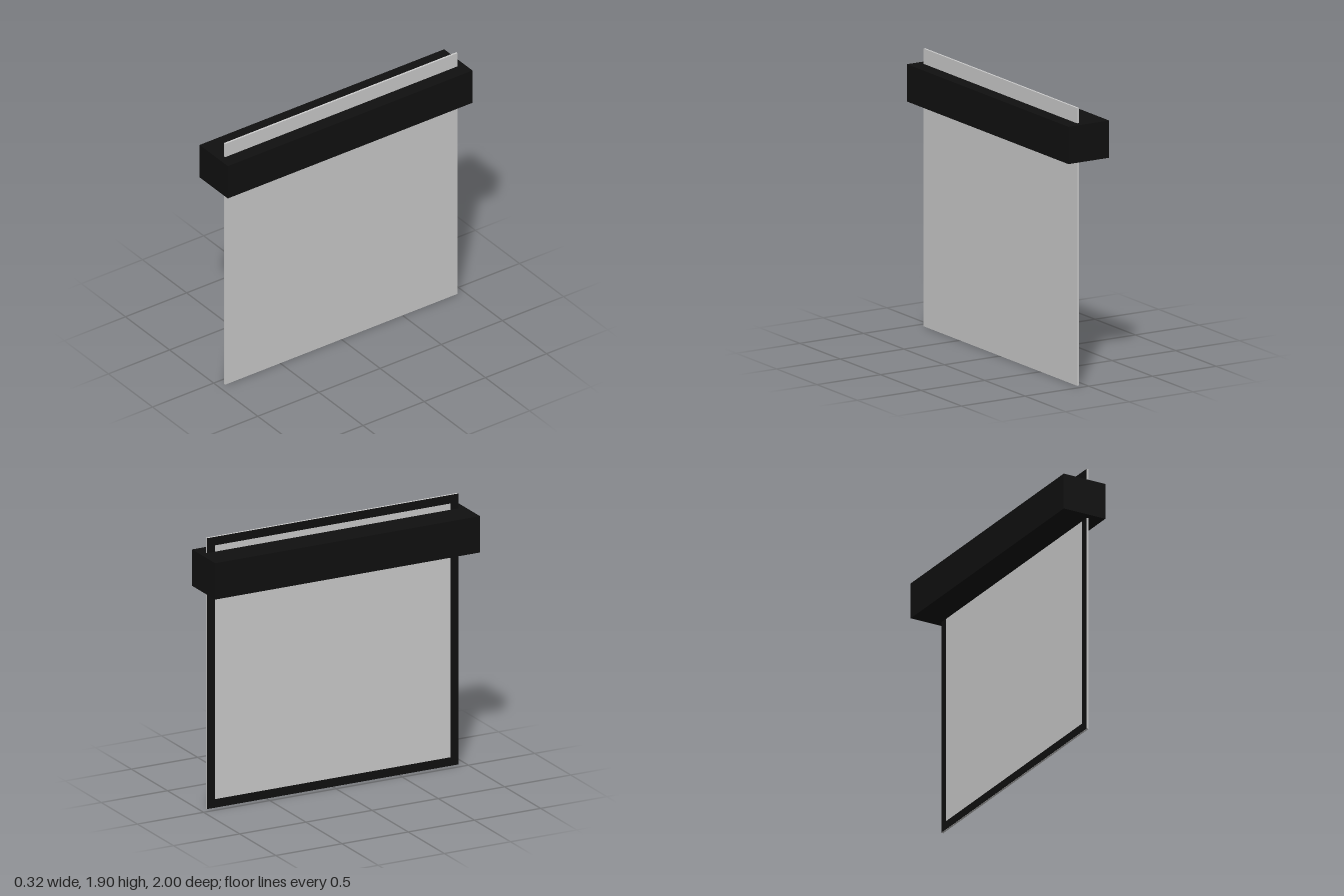
import * as THREE from 'three';

const grey = new THREE.MeshStandardMaterial({ color: 0xcccccc });
const black = new THREE.MeshStandardMaterial({ color: 0x101010 });

function addBox(parent, name, material, size, position) {
  const mesh = new THREE.Mesh(new THREE.BoxGeometry(...size), material);
  mesh.name = name;
  mesh.position.set(...position);
  parent.add(mesh);
  return mesh;
}

export function createModel() {
  const model = new THREE.Group();
  model.name = 'projectionScreen';

  // Long housing that holds the roller
  addBox(model, 'housing', black, [0.32, 0.255, 2], [0, 1.668, 0]);

  // Thin screen sheet, passing through the housing
  const size = 1.9, thickness = 0.014, sheetX = 0.054;
  addBox(model, 'screenSheet', grey, [thickness, size, size], [sheetX, size / 2, 0]);

  // Black border around the projection side, which faces -x
  const half = size / 2, inner = half - 0.06;
  const outline = new THREE.Shape([
    new THREE.Vector2(-half, -half), new THREE.Vector2(half, -half),
    new THREE.Vector2(half, half), new THREE.Vector2(-half, half),
  ]);
  outline.holes.push(new THREE.Path([
    new THREE.Vector2(-inner, -inner), new THREE.Vector2(-inner, inner),
    new THREE.Vector2(inner, inner), new THREE.Vector2(inner, -inner),
  ]));
  const border = new THREE.Mesh(new THREE.ShapeGeometry(outline), black);
  border.name = 'screenBorder';
  border.rotation.y = -Math.PI / 2;
  border.position.set(sheetX - thickness / 2 - 0.001, half, 0);
  model.add(border);

  return model;
}
